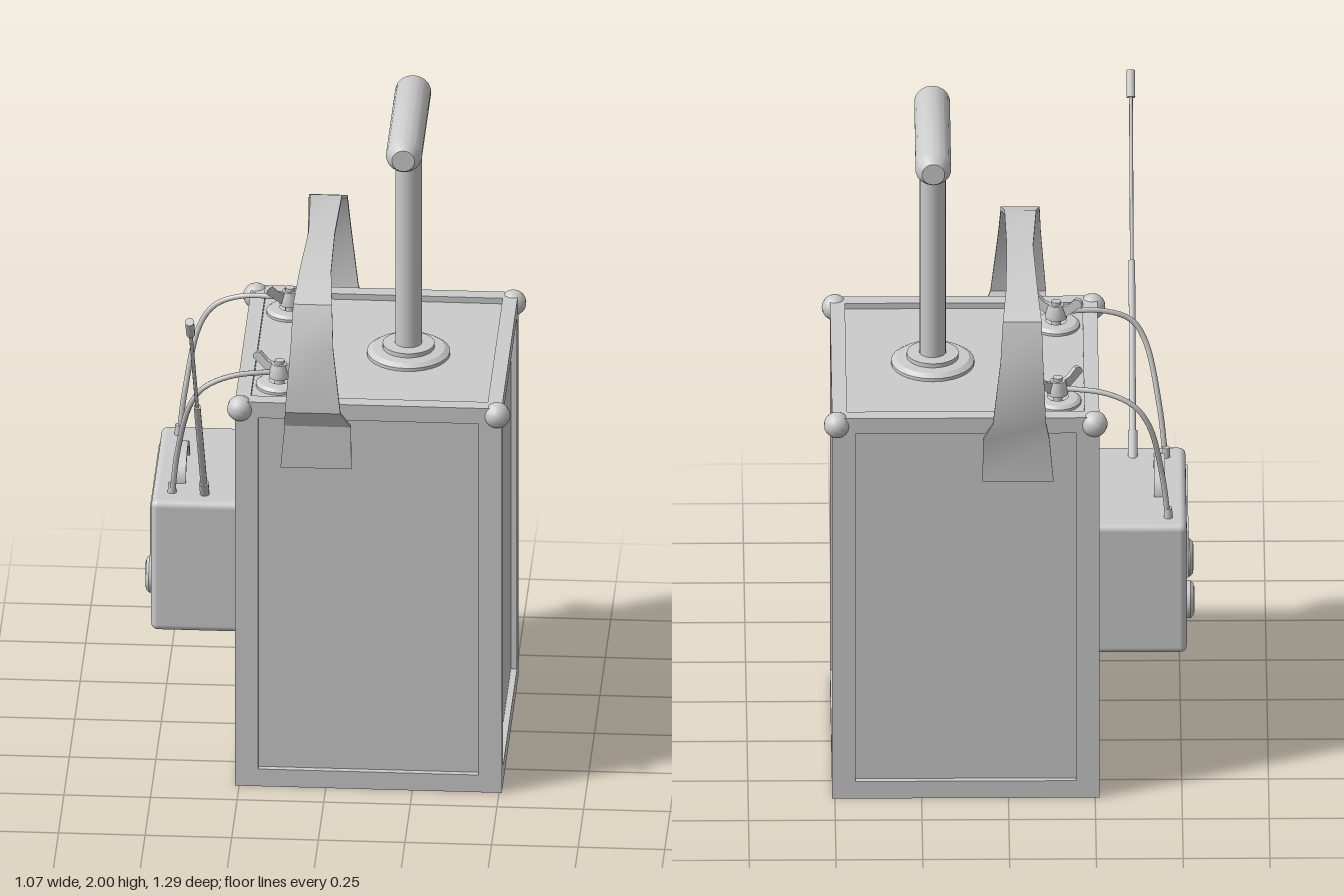
import * as THREE from 'three';
import { toCreasedNormals } from 'three/addons/utils/BufferGeometryUtils.js';
import { RoundedBoxGeometry } from 'three/addons/geometries/RoundedBoxGeometry.js';

const material = new THREE.MeshStandardMaterial({ color: 0xcccccc });
const V = (x, y, z) => new THREE.Vector3(x, y, z);

function add(parent, name, geometry, x = 0, y = 0, z = 0) {
  const mesh = new THREE.Mesh(geometry, material);
  mesh.name = name;
  mesh.position.set(x, y, z);
  parent.add(mesh);
  return mesh;
}

const lathe = (points, sides = 24) => toCreasedNormals(
  new THREE.LatheGeometry(points.map(([r, y]) => new THREE.Vector2(r, y)), sides), 0.5);

// Rod between two points
function rod(parent, name, a, b, radius, sides = 10) {
  const dir = b.clone().sub(a);
  const mesh = add(parent, name, new THREE.CylinderGeometry(radius, radius, dir.length(), sides));
  mesh.position.copy(a).add(b).multiplyScalar(0.5);
  mesh.quaternion.setFromUnitVectors(V(0, 1, 0), dir.normalize());
}

function rectangle(Kind, x0, y0, x1, y1) {
  const r = new Kind();
  r.moveTo(x0, y0).lineTo(x1, y0).lineTo(x1, y1).lineTo(x0, y1).closePath();
  return r;
}

// Flat frame with a rectangular opening, extruded towards +z
function frame(w, h, side, bottom, top, depth) {
  const shape = rectangle(THREE.Shape, -w / 2, 0, w / 2, h);
  shape.holes.push(rectangle(THREE.Path, -w / 2 + side, bottom, w / 2 - side, h - top));
  return new THREE.ExtrudeGeometry(shape, { depth, bevelEnabled: false });
}

// Box with recessed panels and ball corners
function makeCase() {
  const g = new THREE.Group();
  g.name = 'case';
  g.position.set(0.123, 0, -0.228);
  const S = 0.77, H = 1.23, d = 0.018, inner = S - 2 * d;
  add(g, 'caseCore', new THREE.BoxGeometry(inner, H - d, inner), 0, (H - d) / 2, 0);
  for (let i = 0; i < 4; i++) {
    const turn = new THREE.Group();
    turn.name = 'sidePanel';
    turn.rotation.y = i * Math.PI / 2;
    const narrow = i % 2 === 1;
    add(turn, 'sideFrame', frame(narrow ? inner : S, H, narrow ? 0.067 - d : 0.067, 0.055, 0.05, d), 0, 0, S / 2 - d);
    add(turn, 'cornerBall', new THREE.SphereGeometry(0.038, 14, 10), S / 2 - 0.014, 1.203, S / 2 - 0.014);
    g.add(turn);
  }
  const lid = add(g, 'lidFrame', frame(inner, inner, 0.025, 0.025, 0.025, d), 0, H - d, inner / 2);
  lid.rotation.x = -Math.PI / 2;
  return g;
}

// T-shaped plunger with a stepped collar
function makePlunger() {
  const g = new THREE.Group();
  g.name = 'plunger';
  g.position.set(0.215, 0, -0.228);
  add(g, 'collar', lathe([[0.12, 1.21], [0.12, 1.222], [0.105, 1.232], [0.075, 1.234], [0.075, 1.247], [0.039, 1.249]], 28));
  add(g, 'plungerRod', new THREE.CylinderGeometry(0.038, 0.038, 0.74, 20), 0, 1.57, 0);
  const grip = add(g, 'plungerGrip', lathe([[0, -0.248], [0.033, -0.248], [0.052, -0.213], [0.052, 0.213], [0.033, 0.248], [0, 0.248]], 18), 0, 1.948, 0);
  grip.rotation.x = Math.PI / 2;
  return g;
}

// Carrying strap: each station is z, y, left edge x, right edge x
function makeStrap() {
  const stations = [
    [0.165, 1.03, -0.13, 0.075], [0.165, 1.165, -0.118, 0.073], [0.203, 1.225, -0.115, 0.045],
    [0.184, 1.42, -0.1, 0.023], [0.125, 1.53, -0.096, 0.016], [0.005, 1.58, -0.085, 0.006],
    [-0.23, 1.588, -0.074, 0.002], [-0.49, 1.58, -0.085, 0.006], [-0.595, 1.53, -0.096, 0.016],
    [-0.632, 1.42, -0.1, 0.023], [-0.637, 1.225, -0.108, 0.045], [-0.619, 1.165, -0.118, 0.073],
    [-0.619, 1.03, -0.13, 0.075]];
  const t = 0.005, n = stations.length, pos = [], index = [];
  stations.forEach(([z, y, x0, x1], i) => {
    const a = stations[Math.max(i - 1, 0)], b = stations[Math.min(i + 1, n - 1)];
    const dz = b[0] - a[0], dy = b[1] - a[1], l = Math.hypot(dz, dy);
    const nz = dy / l * t, ny = -dz / l * t;
    pos.push(x0, y + ny, z + nz, x1, y + ny, z + nz, x1, y - ny, z - nz, x0, y - ny, z - nz);
  });
  for (let i = 0; i < n - 1; i++) for (let k = 0; k < 4; k++) {
    const a = i * 4 + k, b = i * 4 + (k + 1) % 4;
    index.push(a, b, b + 4, a, b + 4, a + 4);
  }
  const e = (n - 1) * 4;
  index.push(0, 2, 1, 0, 3, 2, e, e + 1, e + 2, e, e + 2, e + 3);
  const geo = new THREE.BufferGeometry();
  geo.setAttribute('position', new THREE.Float32BufferAttribute(pos, 3));
  geo.setIndex(index);
  return toCreasedNormals(geo, 0.5);
}

// Terminal post with washer and wing nut
function makeTerminal(z, angle) {
  const g = new THREE.Group();
  g.name = 'terminal';
  g.position.set(-0.143, 1.212, z);
  g.rotation.y = angle;
  add(g, 'washer', lathe([[0.068, 0], [0.068, 0.008], [0.058, 0.016], [0.03, 0.018]], 24));
  add(g, 'post', new THREE.CylinderGeometry(0.014, 0.014, 0.08, 12), 0, 0.04, 0);
  add(g, 'nut', lathe([[0.031, 0.028], [0.031, 0.042], [0.022, 0.07], [0.014, 0.07]], 16));
  const wing = new THREE.Shape();
  wing.moveTo(0.012, 0.036).lineTo(0.03, 0.036).lineTo(0.06, 0.062).lineTo(0.08, 0.078)
    .quadraticCurveTo(0.08, 0.1, 0.058, 0.097).lineTo(0.036, 0.074).lineTo(0.012, 0.066).closePath();
  const wingGeo = new THREE.ExtrudeGeometry(wing, { depth: 0.014, bevelEnabled: false, curveSegments: 5 });
  wingGeo.translate(0, 0, -0.007);
  for (const turn of [0, Math.PI]) add(g, 'wing', wingGeo).rotation.y = turn;
  return g;
}

// Receiver box with display, knobs, handle and aerial
function makeReceiver() {
  const g = new THREE.Group();
  g.name = 'receiver';
  const zc = -0.255;
  add(g, 'receiverBody', new RoundedBoxGeometry(0.27, 0.415, 0.51, 3, 0.02), -0.38, 0.6175, zc);
  const bezel = add(g, 'displayBezel', frame(0.42, 0.15, 0.01, 0.01, 0.01, 0.006), -0.514, 0.635, zc);
  bezel.rotation.y = -Math.PI / 2;
  for (const z of [-0.397, -0.133]) {
    const knob = add(g, 'knob', lathe([[0, 0], [0.055, 0], [0.055, 0.013], [0.047, 0.022], [0, 0.022]], 20), -0.513, 0.53, z);
    knob.rotation.z = Math.PI / 2;
    add(g, 'knobPointer', new THREE.BoxGeometry(0.005, 0.08, 0.012), -0.535, 0.53, z);
  }
  // Arched carrying handle
  const arch = new THREE.Shape();
  arch.absellipse(0, 0, 0.1, 0.08, 0, Math.PI, false);
  arch.lineTo(-0.084, 0);
  arch.absellipse(0, 0, 0.084, 0.064, Math.PI, 0, true);
  arch.closePath();
  const handle = add(g, 'receiverHandle', toCreasedNormals(
    new THREE.ExtrudeGeometry(arch, { depth: 0.032, bevelEnabled: false, curveSegments: 14 }), 0.5), -0.422, 0.82, -0.226);
  handle.rotation.y = -Math.PI / 2;
  // Telescopic aerial leaning forward
  const at = z => V(-0.363, 1.11 + (z - 0.16) * 1.275, z);
  rod(g, 'aerialBase', at(-0.09), at(-0.018), 0.014);
  rod(g, 'aerialLower', at(-0.03), at(0.29), 0.01);
  rod(g, 'aerialUpper', at(0.28), at(0.6), 0.0055, 8);
  rod(g, 'aerialTip', at(0.585), at(0.634), 0.013);
  return g;
}

export function createModel() {
  const model = new THREE.Group();
  model.name = 'plungerBox';
  model.add(makeCase(), makePlunger(), makeReceiver());
  add(model, 'strap', makeStrap());
  model.add(makeTerminal(-0.477, 0.55), makeTerminal(0.003, -0.33));
  // Wires from receiver to terminals
  const wires = [
    [V(-0.462, 0.81, -0.452), V(-0.445, 0.96, -0.462), V(-0.405, 1.15, -0.505), V(-0.36, 1.215, -0.508), V(-0.28, 1.25, -0.498), V(-0.143, 1.258, -0.478)],
    [V(-0.458, 0.81, -0.07), V(-0.44, 0.97, -0.035), V(-0.4, 1.15, 0.025), V(-0.36, 1.213, 0.036), V(-0.28, 1.248, 0.026), V(-0.143, 1.257, 0.004)]];
  for (const points of wires) {
    add(model, 'wire', new THREE.TubeGeometry(new THREE.CatmullRomCurve3(points), 32, 0.008, 8));
    add(model, 'wirePlug', new THREE.CylinderGeometry(0.011, 0.014, 0.04, 10), points[0].x, 0.835, points[0].z);
  }
  return model;
}
